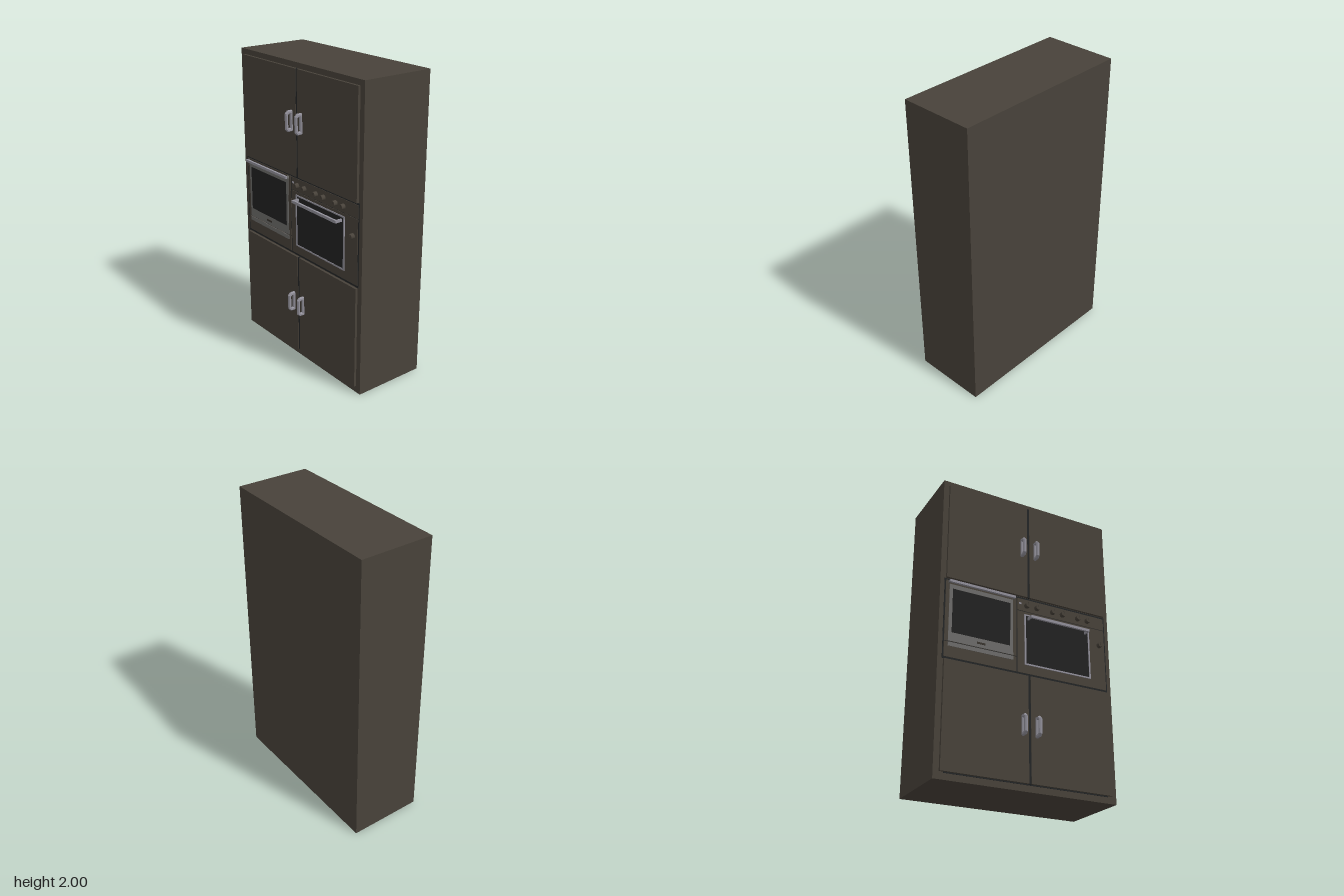
import * as THREE from 'three';

const material = (name, color) => {
  const m = new THREE.MeshStandardMaterial({ color });
  m.name = name;
  return m;
};

export function createModel() {
  const root = new THREE.Group();
  root.name = 'ovenCabinet';
  const wood = material('dark brown wood', 0x48423a);
  const seam = material('black seam', 0x232526);
  const glass = material('dark glass', 0x222222);
  const steel = material('grey steel', 0x6d6c6a);
  const chrome = material('light metal', 0x92909a);
  const knobMat = material('knob brown', 0x3a352f);

  const add = (name, geometry, mat, parent = root) => {
    const mesh = new THREE.Mesh(geometry, mat);
    mesh.name = name;
    parent.add(mesh);
    return mesh;
  };
  // Box given by its limits on each axis
  const box = (name, x0, x1, y0, y1, z0, z1, mat, parent) => {
    const mesh = add(name, new THREE.BoxGeometry(x1 - x0, y1 - y0, z1 - z0), mat, parent);
    mesh.position.set((x0 + x1) / 2, (y0 + y1) / 2, (z0 + z1) / 2);
    return mesh;
  };

  // Carcass
  box('carcass', -0.613, 0.613, 0, 2, -0.28, 0.215, wood);

  // Pull handle: chamfered bracket outline extruded sideways with a bevel
  const chamfered = (path, z0, z1, y, c) => {
    path.moveTo(z0, -y);
    path.lineTo(z1 - c, -y);
    path.lineTo(z1, -y + c);
    path.lineTo(z1, y - c);
    path.lineTo(z1 - c, y);
    path.lineTo(z0, y);
    path.closePath();
    return path;
  };
  const bracket = chamfered(new THREE.Shape(), 0, 0.044, 0.062, 0.014);
  bracket.holes.push(chamfered(new THREE.Path(), 0.007, 0.034, 0.05, 0.008));
  const handleGeometry = new THREE.ExtrudeGeometry(bracket, {
    depth: 0.008, bevelEnabled: true, bevelThickness: 0.007, bevelSize: 0.005, bevelSegments: 1,
  });
  handleGeometry.translate(0, 0, -0.004);
  handleGeometry.rotateY(-Math.PI / 2);

  // Upper and lower pairs of doors with seams and handles
  for (const [level, y0, y1, handleY] of [['lower', 0.047, 0.73, 0.4], ['upper', 1.28, 1.965, 1.637]]) {
    for (const side of [-1, 1]) {
      const group = new THREE.Group();
      group.name = level + (side > 0 ? 'LeftDoor' : 'RightDoor');
      root.add(group);
      const a = side * 0.008, b = side * 0.576;
      box('doorPanel', Math.min(a, b), Math.max(a, b), y0, y1, 0.21, 0.231, wood, group);
      add('doorHandle', handleGeometry, chrome, group).position.set(side * 0.049, handleY, 0.231);
    }
    box(level + 'DoorSeam', -0.008, 0.008, y0, y1, 0.21, 0.228, seam);
  }
  box('bottomSeam', -0.55, 0.55, 0.04, 0.047, 0.21, 0.217, seam);

  // Appliance bay: dark backing visible as gaps around the fascias
  box('applianceBacking', -0.585, 0.585, 0.735, 1.277, 0.21, 0.217, seam);

  // Microwave
  const microwave = new THREE.Group();
  microwave.name = 'microwave';
  root.add(microwave);
  box('lowerFascia', -0.576, -0.086, 0.748, 0.848, 0.212, 0.22, wood, microwave);
  box('upperFascia', -0.576, -0.086, 0.852, 1.265, 0.212, 0.22, wood, microwave);
  box('doorFrame', -0.552, -0.11, 0.853, 1.24, 0.219, 0.223, steel, microwave);
  box('lowerTrim', -0.552, -0.11, 0.82, 0.847, 0.219, 0.223, steel, microwave);
  box('window', -0.53, -0.132, 0.912, 1.21, 0.222, 0.2245, glass, microwave);
  box('badgePlate', -0.36, -0.302, 0.874, 0.887, 0.222, 0.2245, knobMat, microwave);
  box('handleBar', -0.56, -0.104, 1.244, 1.26, 0.232, 0.247, chrome, microwave);
  for (const x of [-0.56, -0.114]) {
    box('handlePost', x, x + 0.01, 1.244, 1.26, 0.218, 0.234, steel, microwave);
  }

  // Oven
  const oven = new THREE.Group();
  oven.name = 'oven';
  root.add(oven);
  box('controlFascia', -0.078, 0.576, 1.18, 1.265, 0.212, 0.22, wood, oven);
  box('ovenFascia', -0.078, 0.576, 0.748, 1.176, 0.212, 0.22, wood, oven);
  box('window', -0.018, 0.447, 0.815, 1.148, 0.218, 0.222, glass, oven);

  // Window trim, a thin frame with an opening
  const rect = (path, x0, x1, y0, y1) => {
    path.moveTo(x0, y0);
    path.lineTo(x1, y0);
    path.lineTo(x1, y1);
    path.lineTo(x0, y1);
    path.closePath();
    return path;
  };
  const trim = rect(new THREE.Shape(), -0.029, 0.458, 0.805, 1.157);
  trim.holes.push(rect(new THREE.Path(), -0.018, 0.447, 0.815, 1.148));
  add('windowTrim', new THREE.ExtrudeGeometry(trim, { depth: 0.006, bevelEnabled: false }), chrome, oven)
    .position.z = 0.219;

  // Oven door handle
  box('handleBar', -0.006, 0.432, 1.118, 1.136, 0.258, 0.272, chrome, oven);
  for (const x of [-0.006, 0.422]) {
    box('handlePost', x, x + 0.01, 1.118, 1.136, 0.219, 0.26, chrome, oven);
  }

  // Control knobs and indicator
  const knobGeometry = new THREE.CylinderGeometry(0.017, 0.018, 0.027, 20);
  knobGeometry.rotateX(Math.PI / 2);
  const knobs = [-0.011, 0.063, 0.18, 0.255, 0.372, 0.446].map((x) => [x, 1.22]);
  knobs.push([0.534, 1.06]);
  for (const [x, y] of knobs) {
    add('knob', knobGeometry, wood, oven).position.set(x, y, 0.2325);
    box('knobMark', x - 0.002, x + 0.002, y, y + 0.015, 0.245, 0.2468, knobMat, oven);
  }
  box('indicator', -0.068, -0.05, 1.224, 1.236, 0.219, 0.222, chrome, oven);

  return root;
}
